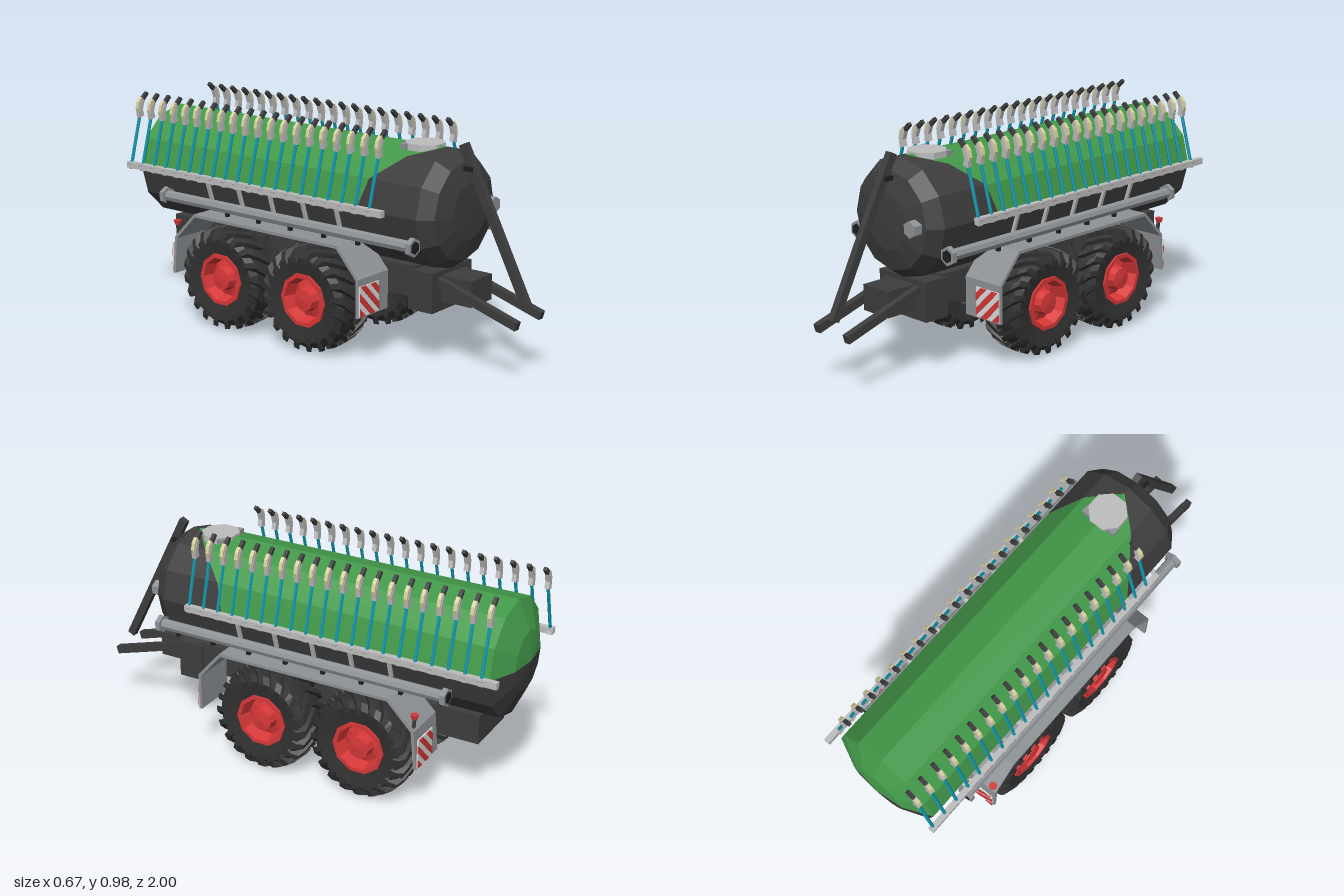
import * as THREE from 'three';
import { mergeGeometries } from 'three/addons/utils/BufferGeometryUtils.js';

const mat = (name, color, side = THREE.FrontSide) =>
  new THREE.MeshStandardMaterial({ name, color, side, flatShading: true });

// Skin over cross-sections; closed sections are capped at both ends.
function loft(rings, closed, flip = false) {
  const pos = [], n = rings[0].length;
  const tri = (a, b, c) => pos.push(...a, ...(flip ? c : b), ...(flip ? b : c));
  for (let i = 0; i < rings.length - 1; i++)
    for (let j = 0; j < (closed ? n : n - 1); j++) {
      const k = (j + 1) % n, a = rings[i][j], c = rings[i + 1][k];
      tri(a, rings[i][k], c);
      tri(a, c, rings[i + 1][j]);
    }
  if (closed) for (let j = 1; j < n - 1; j++) {
    const s = rings[0], e = rings[rings.length - 1];
    tri(s[0], s[j + 1], s[j]);
    tri(e[0], e[j], e[j + 1]);
  }
  const g = new THREE.BufferGeometry();
  g.setAttribute('position', new THREE.Float32BufferAttribute(pos, 3));
  g.computeVertexNormals();
  return g;
}

const poly = (pts) => new THREE.Shape(pts.map(([x, y]) => new THREE.Vector2(x, y)));
const plate = (pts, depth) => new THREE.ExtrudeGeometry(poly(pts), { depth, bevelEnabled: false });

export function createModel() {
  const model = new THREE.Group();
  model.name = 'slurryTanker';
  const green = mat('tank green', 0x43994a, THREE.DoubleSide);
  const charcoal = mat('charcoal', 0x3d3d3d, THREE.DoubleSide);
  const rubber = mat('tyre rubber', 0x313131);
  const grey = mat('steel grey', 0x8e9397);
  const light = mat('light grey', 0xbdbdbd);
  const teal = mat('hose teal', 0x0f93a8);
  const red = mat('red', 0xd83838);
  const cream = mat('cream', 0xd8d2a2);
  const white = mat('white', 0xdedede);
  const black = mat('black', 0x1e1e1e);

  const add = (name, geo, material, x = 0, y = 0, z = 0, parent = model) => {
    const m = new THREE.Mesh(geo, material);
    m.name = name;
    m.position.set(x, y, z);
    parent.add(m);
    return m;
  };
  const box = (name, material, w, h, d, x, y, z) =>
    add(name, new THREE.BoxGeometry(w, h, d), material, x, y, z);
  // Straight beam between two points
  const beam = (name, material, a, b, w, h) => {
    const p = new THREE.Vector3(...a), q = new THREE.Vector3(...b);
    const m = add(name, new THREE.BoxGeometry(w, h, p.distanceTo(q)), material);
    m.position.copy(p).add(q).multiplyScalar(0.5);
    m.lookAt(q);
    return m;
  };
  const cylZ = (r, len, n, r2 = r) => new THREE.CylinderGeometry(r, r2, len, n).rotateX(Math.PI / 2);

  // Tank: twelve-sided, domed ends, green upper shell ending in an arch
  const R = 0.253, Y = 0.655;
  const rear = [[-1, 0.001], [-0.985, 0.13], [-0.93, R]];
  const nose = [[0.61, R], [0.67, 0.21], [0.695, 0.12], [0.7, 0.001]];
  const splitZ = [0.31, 0.35, 0.47, 0.58, 0.47, 0.35, 0.31];
  const arc = (z, r, from) => Array.from({ length: 7 }, (_, i) => {
    const a = from + i * Math.PI / 6;
    return [r * Math.cos(a), Y + r * Math.sin(a), z];
  });
  const edge = arc(0, R, 0).map(([x, y], i) => [x, y, splitZ[i]]);
  add('tankUpperShell', loft([...rear.map(([z, r]) => arc(z, r, 0)), edge], false), green);
  add('tankFrontShell', loft([edge, ...nose.map(([z, r]) => arc(z, r, 0))], false), charcoal);
  add('tankLowerShell', loft([...rear, ...nose].map(([z, r]) => arc(z, r, Math.PI)), false), charcoal);
  add('manholeCover', new THREE.CylinderGeometry(0.085, 0.085, 0.035, 8).rotateY(Math.PI / 8), light, 0, 0.897, 0.47);
  box('manholeHinge', grey, 0.17, 0.02, 0.03, 0, 0.902, 0.42);
  add('frontPort', cylZ(0.036, 0.06, 6), grey, 0.158, Y, 0.685);
  add('frontPortCollar', cylZ(0.026, 0.03, 6), grey, 0.158, Y, 0.665);

  // Chassis and hitch
  box('chassis', charcoal, 0.26, 0.13, 1.36, 0, 0.355, -0.165);
  box('axleCarrier', charcoal, 0.2, 0.1, 0.62, 0, 0.25, -0.155);
  box('frontBox', charcoal, 0.28, 0.17, 0.12, 0, 0.325, 0.555);
  box('hitchBlock', charcoal, 0.15, 0.11, 0.16, 0, 0.335, 0.68);
  beam('suctionArm', charcoal, [0, 0.93, 0.66], [0, 0.305, 0.98], 0.03, 0.035);
  box('suctionArmBracket', black, 0.055, 0.018, 0.05, 0, 0.835, 0.69);

  // Wheel geometries
  const lathe = (pts, n) => new THREE.LatheGeometry(pts.map(([r, y]) => new THREE.Vector2(r, y)), n);
  const tyreGeo = lathe([[0.112, -0.08], [0.185, -0.095], [0.21, -0.07], [0.215, 0],
    [0.21, 0.07], [0.185, 0.095], [0.112, 0.08]], 24).rotateZ(-Math.PI / 2);
  const rimGeo = lathe([[0.118, 0], [0.118, 0.09], [0.1, 0.09], [0.085, 0.035],
    [0.055, 0.045], [0.048, 0.085], [0.001, 0.09]], 10);
  const lugs = [];
  const count = 20, stations = [[0, 0.2, 0.234, 0], [0.06, 0.2, 0.23, 0.2], [0.088, 0.185, 0.222, 0.32], [0.1, 0.165, 0.19, 0.37]];
  for (let i = 0; i < count; i++) for (const h of [1, -1]) {
    const a0 = (i + (h > 0 ? 0 : 0.5)) * 2 * Math.PI / count;
    const rings = stations.map(([x, lo, hi, da]) => {
      const p = (r, w) => [h * x, r * Math.sin(a0 + da + w), r * Math.cos(a0 + da + w)];
      return [p(lo, 0.075), p(hi, 0.06), p(hi, -0.06), p(lo, -0.075)];
    });
    lugs.push(loft(rings, true, h < 0));
  }
  const lugGeo = mergeGeometries(lugs);

  for (const z of [0.08, -0.39]) {
    const axle = new THREE.CylinderGeometry(0.035, 0.035, 0.4, 8).rotateZ(Math.PI / 2);
    add('axle', axle, charcoal, 0, 0.235, z);
    for (const s of [1, -1]) {
      const wheel = new THREE.Group();
      wheel.name = 'wheel';
      wheel.position.set(s * 0.232, 0.235, z);
      model.add(wheel);
      add('tyre', tyreGeo, rubber, 0, 0, 0, wheel);
      add('treadLugs', lugGeo, rubber, 0, 0, 0, wheel);
      add('rim', rimGeo.clone().rotateZ(-s * Math.PI / 2), red, 0, 0, 0, wheel);
      const inner = new THREE.CylinderGeometry(0.115, 0.115, 0.03, 12).rotateZ(Math.PI / 2);
      add('innerDisc', inner, charcoal, -s * 0.04, 0, 0, wheel);
    }
  }

  // Fender section, side profile in (z, y)
  const fenderPts = [[0.385, 0.22], [0.385, 0.385], [0.275, 0.51], [-0.53, 0.51], [-0.65, 0.39], [-0.665, 0.22],
    [-0.652, 0.22], [-0.637, 0.384], [-0.525, 0.497], [0.269, 0.497], [0.372, 0.38], [0.372, 0.22]];
  const fenderGeo = plate(fenderPts, 0.2).rotateY(-Math.PI / 2).translate(0.1, 0, 0);

  // Diagonal warning stripes within a square
  const P = 0.128;
  const cross = (c) => { const m = Math.min(c, 1); return [[m, c - m], [c - m, m]]; };
  const stripes = (s) => mergeGeometries([0.04, 0.54, 1.04, 1.54].map((c) => {
    const [a, b] = cross(c), [d, e] = cross(c + 0.25);
    return plate([a, d, e, b].map(([u, v]) => [s * (0.5 - u) * P, (v - 0.5) * P]), 0.006);
  }));

  for (const s of [1, -1]) {
    add('fender', fenderGeo, grey, s * 0.233, 0, 0);
    for (const z of [0.388, -0.668]) {
      box('warningPanel', white, P, P, 0.006, s * 0.264, 0.291, z);
      add('warningStripes', stripes(s), red, s * 0.264, 0.291, z > 0 ? z : z - 0.006);
    }
    // Marker lamp on the rear fender
    beam('lampStalk', charcoal, [s * 0.315, 0.4, -0.64], [s * 0.315, 0.45, -0.645], 0.012, 0.012);
    add('markerLamp', new THREE.CylinderGeometry(0.018, 0.012, 0.02, 8), red, s * 0.318, 0.453, -0.645);

    // Drawbar
    beam('drawbar', charcoal, [s * 0.09, 0.375, 0.59], [s * 0.09, 0.255, 0.993], 0.03, 0.036);

    // Side suction pipe with flanged, open-looking ends
    add('sidePipe', cylZ(0.025, 1.36, 8), grey, s * 0.272, 0.55, -0.075);
    for (const [z, d] of [[0.61, 1], [-0.755, -1]]) {
      add('pipeFlange', cylZ(0.04, 0.022, 6), grey, s * 0.272, 0.55, z);
      add('pipeMouth', cylZ(0.027, 0.006, 6), black, s * 0.272, 0.55, z + d * 0.011);
    }
    for (let i = 0; i < 8; i++) {
      const z = 0.52 - i * 0.18;
      box('pipeClamp', black, 0.016, 0.02, 0.016, s * 0.278, 0.524, z);
      box('pipeBracket', light, 0.06, 0.012, 0.02, s * 0.232, 0.53, z);
    }

    // Hose rail and its struts
    box('hoseRail', light, 0.026, 0.028, 1.45, s * 0.285, 0.664, -0.255);
    for (let i = 0; i < 5; i++) {
      const z = 0.22 - i * 0.18;
      beam('railStrut', light, [s * 0.245, 0.56, z], [s * 0.275, 0.655, z], 0.014, 0.014);
      beam('railTie', light, [s * 0.235, 0.64, z], [s * 0.28, 0.66, z], 0.014, 0.014);
    }

    // Row of application hoses with their holders
    const mx = (pts) => pts.map(([x, y]) => [s * x, y]);
    const shapeZ = (pts, d) => plate(mx(pts), d).translate(0, 0, -d / 2);
    const len = Math.hypot(0.056, 0.2);
    const parts = [
      ['hoseSocket', shapeZ([[0.268, 0.65], [0.292, 0.644], [0.3, 0.672], [0.276, 0.68]], 0.022), light],
      ['hose', new THREE.CylinderGeometry(0.0075, 0.0075, len, 6)
        .rotateZ(s * Math.atan2(0.056, 0.2)).translate(s * 0.253, 0.775, 0), teal],
      ['holder', shapeZ([[0.205, 0.88], [0.232, 0.872], [0.236, 0.905], [0.212, 0.962], [0.2, 0.945], [0.212, 0.91]], 0.02), light],
      ['holderBack', shapeZ([[0.232, 0.885], [0.241, 0.915], [0.234, 0.945], [0.215, 0.965], [0.209, 0.958], [0.232, 0.905]], 0.016), cream],
      ['nozzle', shapeZ([[0.203, 0.942], [0.216, 0.955], [0.182, 0.985], [0.171, 0.974]], 0.016), charcoal],
    ];
    const row = new THREE.Group();
    row.name = 'hoseRow';
    model.add(row);
    for (let i = 0; i < 20; i++)
      for (const [name, geo, m] of parts)
        add(name, geo, m, 0, 0, (s > 0 ? 0.455 : 0.4) - i * 0.0718, row);
  }
  return model;
}
